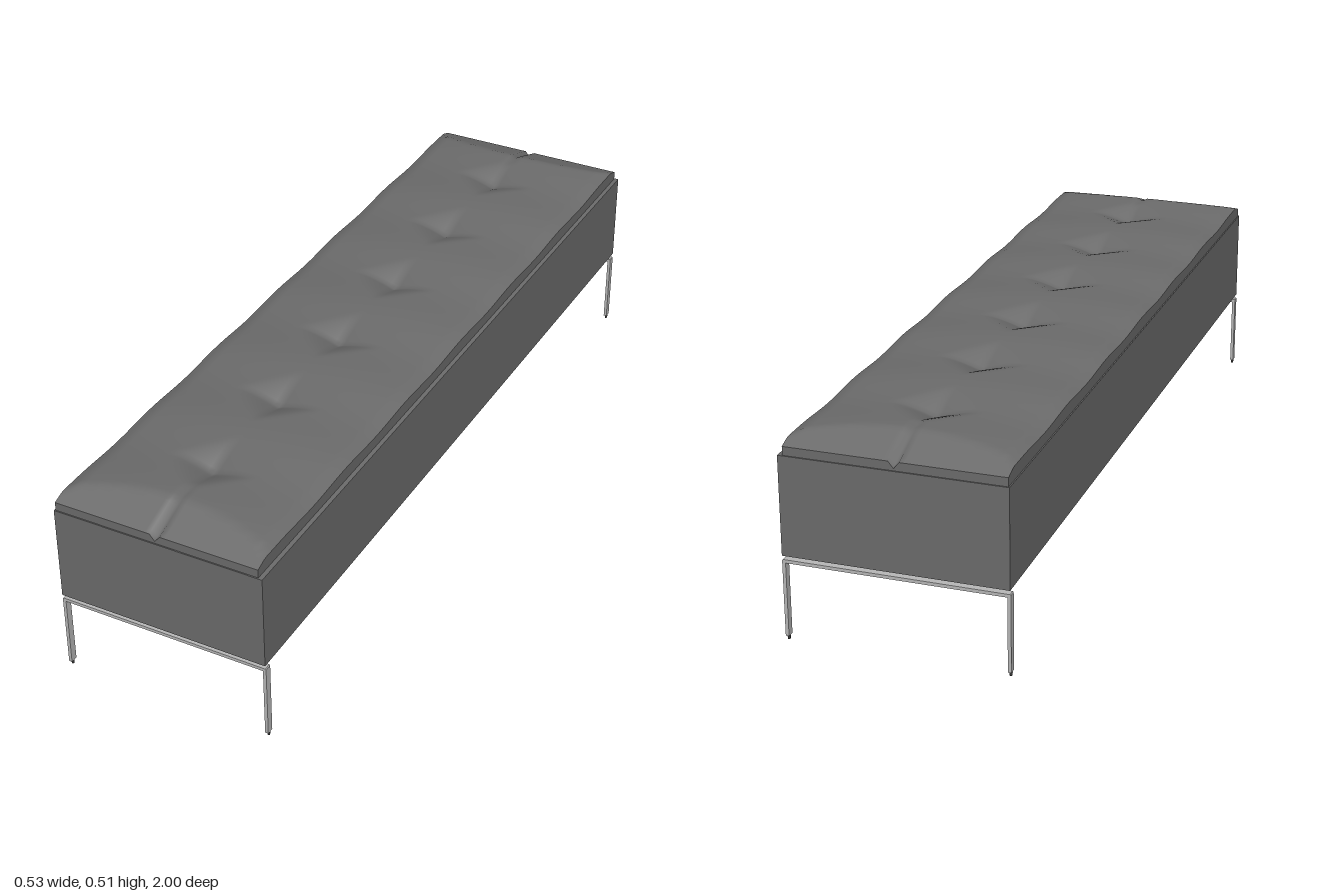
import * as THREE from 'three';

const upholstery = new THREE.MeshStandardMaterial({ name: 'grey upholstery', color: 0x6c6c6c });
const steel = new THREE.MeshStandardMaterial({ name: 'brushed steel', color: 0xb8b8b8 });
const rubber = new THREE.MeshStandardMaterial({ name: 'dark rubber', color: 0x3a3a3a });

const HALF_W = 0.258, HALF_L = 0.997;
const TUFTS = [-0.75, -0.45, -0.15, 0.15, 0.45, 0.75];

// Height of the cushion's top: crowned, bevelled at the rim and pinched at the tufts
function cushionHeight(x, z) {
  const t = Math.abs(x) / HALF_W, az = Math.abs(z);
  const crown = t < 0.9 ? 0.508 - 0.015 * (t / 0.9) ** 2 : 0.493 - (t - 0.9) * 0.11;
  let y = Math.min(crown, 0.471 + (HALF_L - az) * 0.36);
  if (az < 0.9) y -= 0.005 * (0.5 - 0.5 * Math.cos(z * Math.PI * 2 / 0.3));
  let dent = 0;
  for (const tz of TUFTS) {
    const r = Math.max(0, 1 - (Math.abs(x) + Math.abs(z - tz)) / 0.11);
    dent = Math.max(dent, 0.03 * r ** 1.4);
    // short crease along the middle
    if (Math.abs(x) < 0.004) dent = Math.max(dent, 0.018 * (1 - Math.abs(z - tz) / 0.1));
  }
  // seam running out over each end
  if (Math.abs(x) < 0.004 && az > 0.8) dent = Math.max(dent, (az - 0.8) * 0.08);
  return y - dent;
}

function makeCushion() {
  const geo = new THREE.BoxGeometry(HALF_W * 2, 1, HALF_L * 2, 40, 1, 160);
  const p = geo.attributes.position;
  for (let i = 0; i < p.count; i++) {
    p.setY(i, p.getY(i) > 0 ? cushionHeight(p.getX(i), p.getZ(i)) : 0.45);
  }
  geo.computeVertexNormals();
  const mesh = new THREE.Mesh(geo, upholstery);
  mesh.name = 'tuftedCushion';
  mesh.position.x = -0.004;
  return mesh;
}

// Flat steel hoop: two legs joined by a top bar
function makeLegFrame(side) {
  const group = new THREE.Group();
  group.name = side > 0 ? 'frontLegFrame' : 'backLegFrame';
  const o = 0.266, i = 0.258, top = 0.2, bar = 0.192, foot = 0.011;
  const shape = new THREE.Shape([
    [-o, foot], [-i, foot], [-i, bar], [i, bar], [i, foot],
    [o, foot], [o, top - 0.002], [o - 0.002, top], [-o + 0.002, top], [-o, top - 0.002],
  ].map(([x, y]) => new THREE.Vector2(x, y)));
  const hoop = new THREE.Mesh(
    new THREE.ExtrudeGeometry(shape, { depth: 0.018, bevelEnabled: false }), steel);
  hoop.name = 'legHoop';
  hoop.position.z = side * 0.989 - 0.009;
  group.add(hoop);
  for (const s of [-1, 1]) {
    // small tapered glide under each leg
    const glide = new THREE.Mesh(new THREE.CylinderGeometry(0.004, 0.003, 0.011, 10), rubber);
    glide.name = 'footGlide';
    glide.position.set(s * 0.262, 0.0055, side * 0.989);
    group.add(glide);
  }
  return group;
}

export function createModel() {
  const model = new THREE.Group();
  model.name = 'bench';

  const body = new THREE.Mesh(new THREE.BoxGeometry(0.53, 0.24, 2), upholstery);
  body.name = 'seatBase';
  body.position.y = 0.33;

  model.add(body, makeCushion(), makeLegFrame(1), makeLegFrame(-1));
  return model;
}
